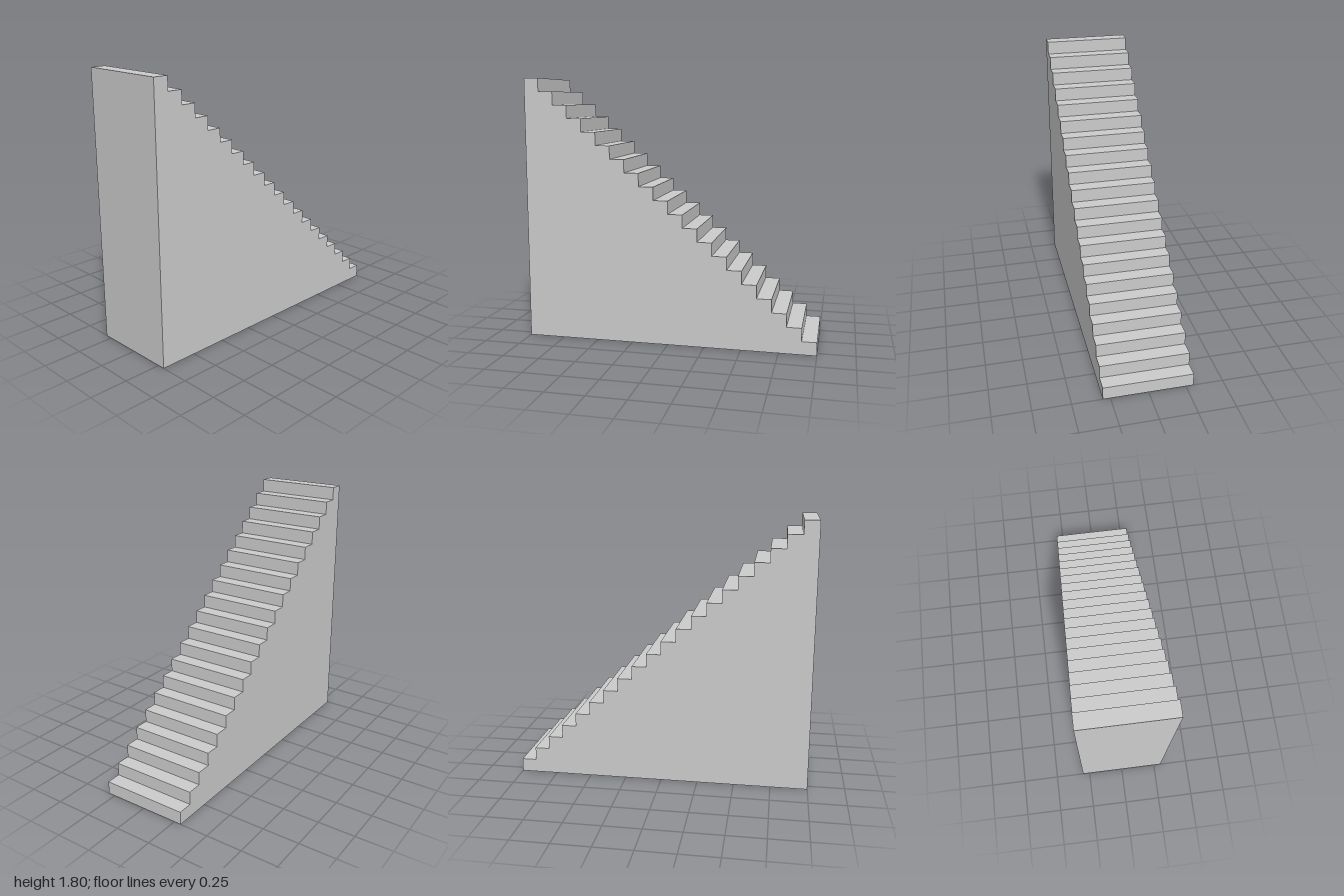
import * as THREE from 'three';

const STEPS = 20, RUN = 0.1, RISE = 0.09, WIDTH = 0.6;
const HEIGHT = STEPS * RISE, DEPTH = STEPS * RUN;

export function createModel() {
  const group = new THREE.Group();
  // Thin shell, open underneath
  const material = new THREE.MeshStandardMaterial({ color: 0xcccccc, side: THREE.DoubleSide });

  function add(name, geometry, parent = group) {
    const mesh = new THREE.Mesh(geometry, material);
    mesh.name = name;
    parent.add(mesh);
    return mesh;
  }

  // Flight of steps, climbing from the back to the front
  const stairs = new THREE.Group();
  stairs.name = 'stairs';
  group.add(stairs);
  for (let i = 0; i < STEPS; i++) {
    const z = -DEPTH / 2 + i * RUN;
    const riser = new THREE.PlaneGeometry(WIDTH, RISE).rotateY(Math.PI);
    add(`riser${i + 1}`, riser.translate(0, (i + 0.5) * RISE, z), stairs);
    const tread = new THREE.PlaneGeometry(WIDTH, RUN).rotateX(-Math.PI / 2);
    add(`tread${i + 1}`, tread.translate(0, (i + 1) * RISE, z + RUN / 2), stairs);
  }

  // Stepped side walls
  for (const side of [-1, 1]) {
    const outline = new THREE.Shape();
    outline.moveTo(-side * DEPTH / 2, 0);
    for (let i = 0; i < STEPS; i++) {
      const z = -DEPTH / 2 + i * RUN;
      outline.lineTo(-side * z, i * RISE);
      outline.lineTo(-side * z, (i + 1) * RISE);
    }
    outline.lineTo(-side * DEPTH / 2, HEIGHT);
    outline.closePath();
    const wall = new THREE.ShapeGeometry(outline).rotateY(side * Math.PI / 2);
    add(side > 0 ? 'leftWall' : 'rightWall', wall.translate(side * WIDTH / 2, 0, 0));
  }

  // Tall front wall
  add('frontWall', new THREE.PlaneGeometry(WIDTH, HEIGHT).translate(0, HEIGHT / 2, DEPTH / 2));

  return group;
}
